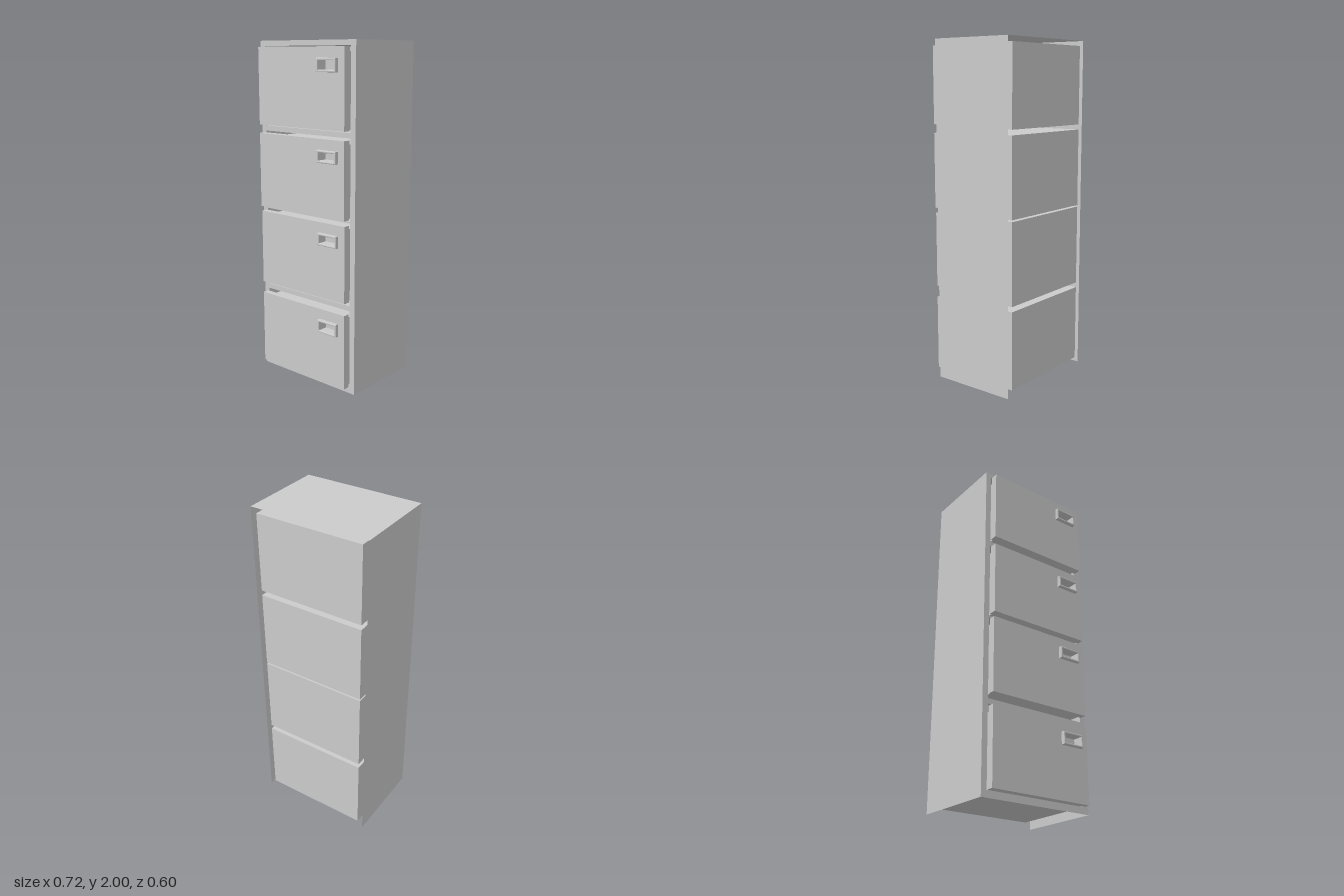
import * as THREE from 'three';

const grey = new THREE.MeshStandardMaterial({ color: 0xcccccc });
const sheet = new THREE.MeshStandardMaterial({ color: 0xcccccc, side: THREE.DoubleSide });

const W = 0.36, H = 2, BACK = -0.30, FRONT = 0.22, OPEN = 0.325;
const HANDLE = { left: 0.14, right: 0.28, rim: 0.012 };

// opening = hole in the face frame, panel = drawer front, handle = lower and upper edge
const drawers = [
  { opening: [1.51, 1.97], panel: [1.52, 1.965], handle: [1.83, 1.905], front: 0.273 },
  { opening: [1.02, 1.48], panel: [1.03, 1.47], handle: [1.34, 1.41], front: 0.273 },
  { opening: [0.53, 1.01], panel: [0.555, 1.0], handle: [0.87, 0.94], front: 0.268 },
  { opening: [0.04, 0.50], panel: [0.04, 0.485], handle: [0.35, 0.425], front: 0.268 },
];

function rect(Type, x0, x1, y0, y1) {
  const r = new Type();
  r.moveTo(x0, y0);
  r.lineTo(x1, y0);
  r.lineTo(x1, y1);
  r.lineTo(x0, y1);
  r.closePath();
  return r;
}

function add(parent, name, geometry, material, x = 0, y = 0, z = 0) {
  const mesh = new THREE.Mesh(geometry, material);
  mesh.name = name;
  mesh.position.set(x, y, z);
  parent.add(mesh);
  return mesh;
}

// Sheet shell: top and sides, open at the back and underneath
function buildCabinet() {
  const cabinet = new THREE.Group();
  cabinet.name = 'cabinet';
  const depth = FRONT - BACK, midZ = (FRONT + BACK) / 2;
  add(cabinet, 'top', new THREE.PlaneGeometry(2 * W, depth), sheet, 0, H, midZ).rotation.x = -Math.PI / 2;
  for (const s of [-1, 1]) {
    add(cabinet, s > 0 ? 'leftSide' : 'rightSide', new THREE.PlaneGeometry(depth, H), sheet,
      s * W, H / 2, midZ).rotation.y = s * Math.PI / 2;
  }

  // Face frame with one opening per drawer
  const frame = rect(THREE.Shape, -W, W, 0, H);
  for (const d of drawers) frame.holes.push(rect(THREE.Path, -OPEN, OPEN, ...d.opening));
  add(cabinet, 'faceFrame', new THREE.ShapeGeometry(frame), sheet, 0, 0, FRONT);
  return cabinet;
}

function buildDrawer(d) {
  const drawer = new THREE.Group();
  drawer.name = 'drawer';
  const panelBack = 0.228;

  // Compartment running from the face frame to the back: four walls and a rear sheet
  const [o0, o1] = d.opening;
  const depth = FRONT - BACK, midY = (o0 + o1) / 2, midZ = (FRONT + BACK) / 2;
  const bay = new THREE.Group();
  bay.name = 'compartment';
  for (const s of [-1, 1]) {
    add(bay, 'compartmentWall', new THREE.PlaneGeometry(depth, o1 - o0), sheet,
      s * OPEN, midY, midZ).rotation.y = Math.PI / 2;
    add(bay, s > 0 ? 'compartmentRoof' : 'compartmentFloor', new THREE.PlaneGeometry(2 * OPEN, depth), sheet,
      0, s > 0 ? o1 : o0, midZ).rotation.x = Math.PI / 2;
  }
  add(bay, 'compartmentBack', new THREE.PlaneGeometry(2 * OPEN, o1 - o0), sheet, 0, midY, BACK);
  drawer.add(bay);

  // Drawer body, a little lower and narrower than its front
  const [p0, p1] = d.panel;
  const bodyTop = p1 - 0.025, bodyBack = BACK + 0.02;
  add(drawer, 'drawerBody', new THREE.BoxGeometry(0.62, bodyTop - p0 - 0.004, panelBack - bodyBack), grey,
    0, (bodyTop + p0 + 0.004) / 2, (panelBack + bodyBack) / 2);

  // Drawer front with the grip pocket cut through it
  const { left, right, rim } = HANDLE;
  const [h0, h1] = d.handle;
  const pocket = () => rect(THREE.Path, left + rim, right - rim, h0 + rim, h1 - rim);
  const panel = rect(THREE.Shape, -OPEN, OPEN, p0, p1);
  panel.holes.push(pocket());
  add(drawer, 'drawerFront', new THREE.ExtrudeGeometry(panel, { depth: d.front - panelBack, bevelEnabled: false }),
    grey, 0, 0, panelBack);

  // Raised handle rim with softened edges
  const bevel = 0.004;
  const ring = rect(THREE.Shape, left, right, h0, h1);
  ring.holes.push(pocket());
  add(drawer, 'handleRim', new THREE.ExtrudeGeometry(ring, {
    depth: 0.022 - bevel, bevelThickness: bevel, bevelSize: bevel, bevelOffset: -bevel, bevelSegments: 2,
  }), grey, 0, 0, d.front);
  return drawer;
}

export function createModel() {
  const model = new THREE.Group();
  model.name = 'filingCabinet';
  model.add(buildCabinet());
  for (const d of drawers) model.add(buildDrawer(d));
  return model;
}
